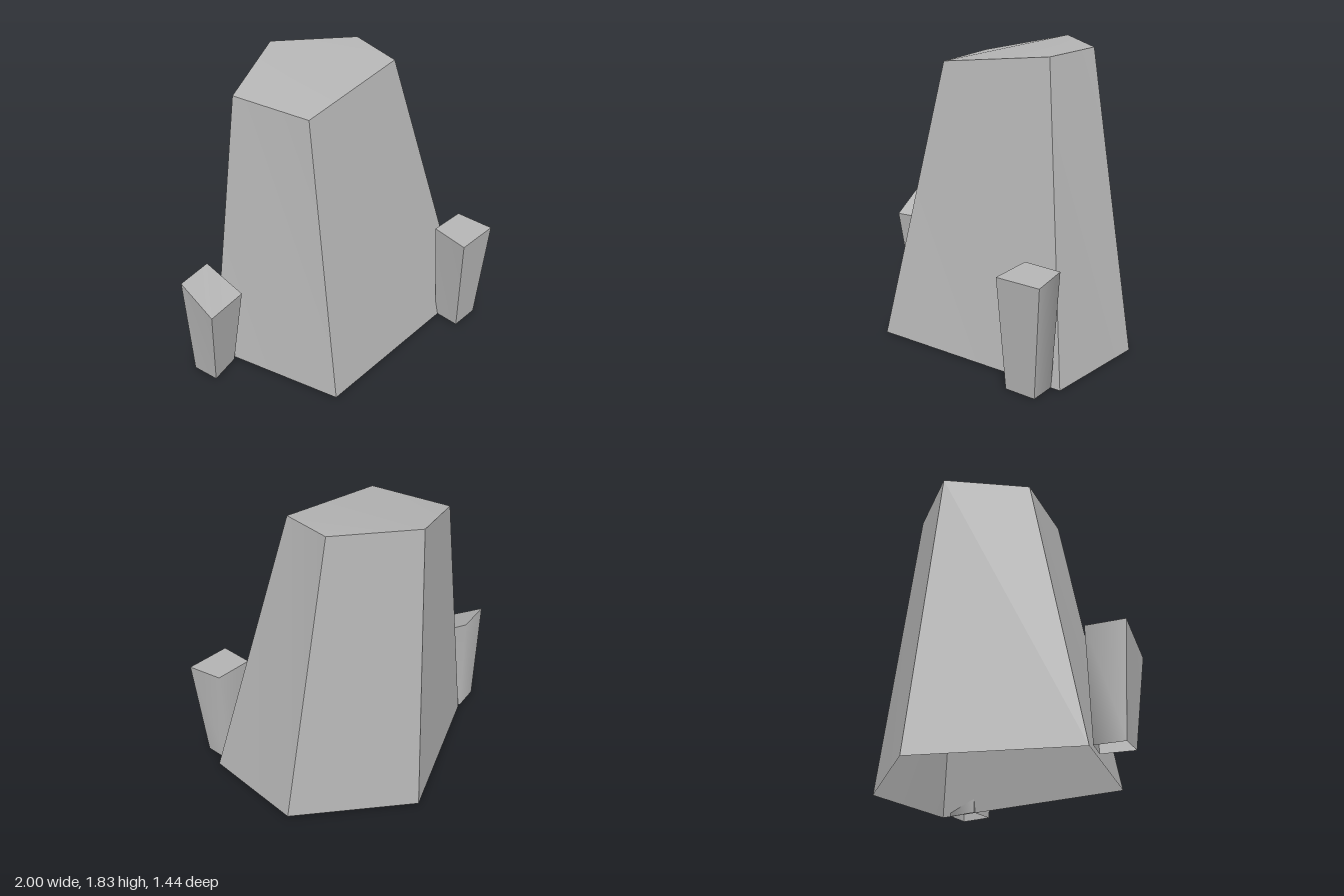
import * as THREE from 'three';

// Tapered stone shell, open at the base.
// bottom: [x, z] corners and top: [x, y, z] corners, both clockwise from above.
// strips: runs of corner indices; walls within one run share smooth normals.
function stone(name, bottom, top, strips, material) {
  const pos = [];
  const index = [];

  for (const run of strips) {
    const base = pos.length / 3;
    for (const i of run) pos.push(bottom[i][0], 0, bottom[i][1], ...top[i]);
    for (let k = 0; k < run.length - 1; k++) {
      const a = base + k * 2;
      index.push(a, a + 1, a + 3, a, a + 3, a + 2);
    }
  }

  // Slanted cap
  const cap = pos.length / 3;
  for (const p of top) pos.push(...p);
  for (let i = 1; i < top.length - 1; i++) index.push(cap, cap + i + 1, cap + i);

  const geometry = new THREE.BufferGeometry();
  geometry.setAttribute('position', new THREE.Float32BufferAttribute(pos, 3));
  geometry.setIndex(index);
  geometry.computeVertexNormals();
  const mesh = new THREE.Mesh(geometry, material);
  mesh.name = name;
  return mesh;
}

export function createModel() {
  const group = new THREE.Group();
  group.name = 'standingStones';
  const grey = new THREE.MeshStandardMaterial({ color: 0xb4b4b4, side: THREE.DoubleSide });
  grey.name = 'stone grey';

  // Large five-sided rock, every edge sharp
  group.add(stone('mainRock',
    [[-0.02, -0.72], [0.75, -0.43], [0.94, 0.23], [-0.28, 0.72], [-0.78, -0.02]],
    [[-0.10, 1.83, -0.54], [0.41, 1.83, -0.36], [0.47, 1.81, 0], [-0.24, 1.715, 0.29], [-0.505, 1.715, -0.175]],
    [[0, 1], [1, 2], [2, 3], [3, 4], [4, 0]], grey));

  // Small four-sided rocks, widening upward, with a soft back edge
  const softBack = [[3, 0, 1], [1, 2], [2, 3]];
  group.add(stone('leftSmallRock',
    [[0.88, 0.25], [0.94, 0.405], [0.755, 0.475], [0.70, 0.31]],
    [[0.89, 0.70, 0.205], [1.0, 0.685, 0.42], [0.725, 0.68, 0.52], [0.66, 0.70, 0.285]],
    softBack, grey));
  group.add(stone('rightSmallRock',
    [[-0.80, -0.01], [-0.71, 0.12], [-0.88, 0.235], [-0.96, 0.08]],
    [[-0.79, 0.70, 0.03 - 0.06], [-0.65, 0.555, 0.17], [-0.90, 0.555, 0.31], [-1.0, 0.70, 0.09]],
    softBack, grey));

  return group;
}
